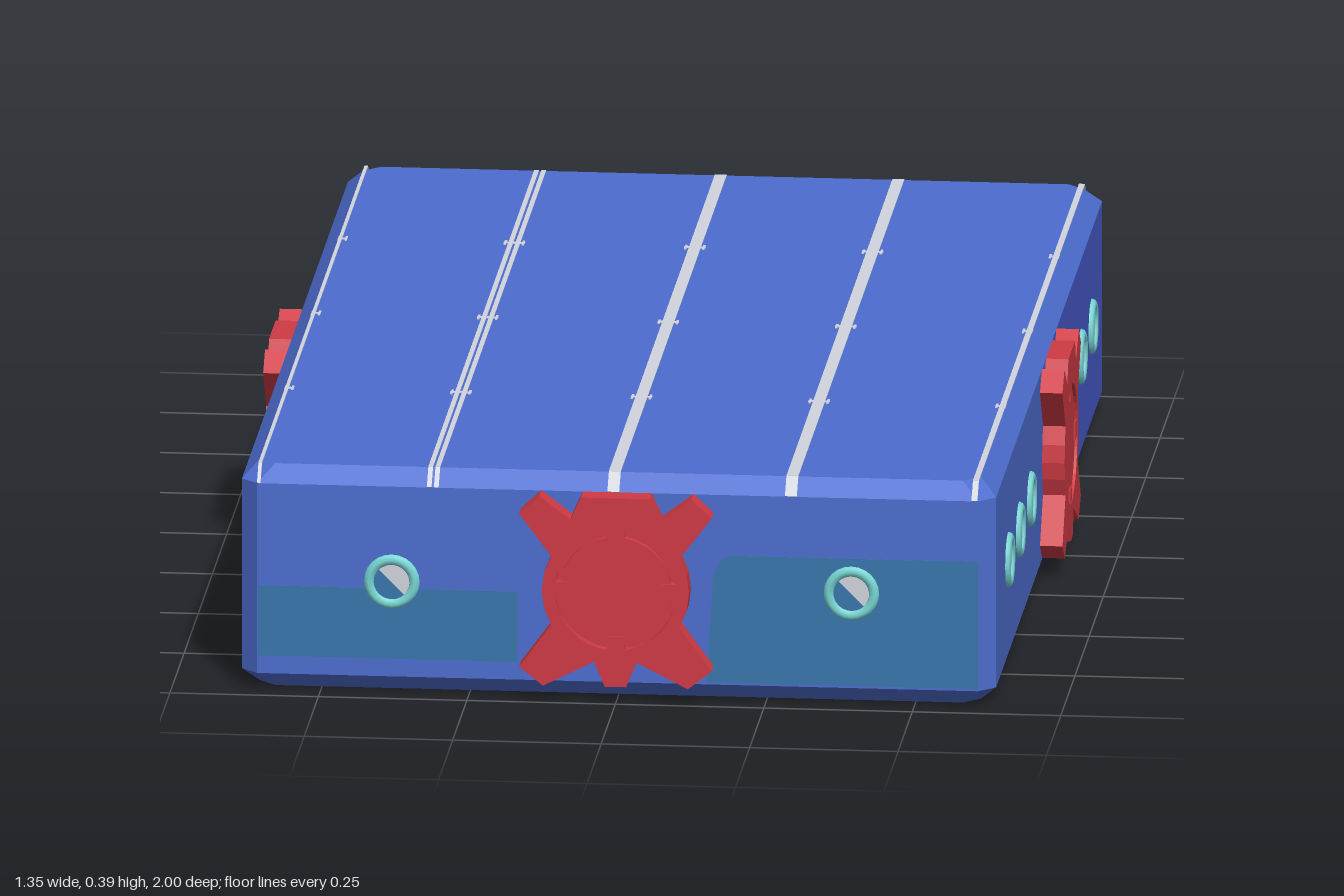
import * as THREE from 'three';

const mat = (name, hex) => {
  const m = new THREE.MeshStandardMaterial({ color: hex });
  m.name = name;
  return m;
};

const HX = 0.635, HZ = 0.962, H = 0.386, CUT = 0.028, MID = 0.195;

// Chamfered slab from stacked outlines; groups: 0 lid and front, 1 rear walls and underside, 2 front left lower edge
function slabGeometry() {
  const outline = (inset) => {
    const x = HX - inset, z = HZ - inset, c = CUT;
    return [[x, 0], [x, z - c], [x - c, z], [c - x, z], [-x, z - c],
      [-x, 0], [-x, c - z], [c - x, -z], [x - c, -z], [x, c - z]];
  };
  const levels = [[0, CUT], [CUT, 0], [H - CUT, 0], [H, CUT]];
  const rings = levels.map(([y, inset]) => outline(inset).map(([x, z]) => [x, y, z]));
  const sets = [[], [], []];
  const n = rings[0].length;
  for (let k = 0; k < 3; k++) {
    for (let i = 0; i < n; i++) {
      const j = (i + 1) % n;
      const a = rings[k][i], b = rings[k][j], c = rings[k + 1][i], d = rings[k + 1][j];
      const rear = k === 1 && a[2] + b[2] < 0;
      const set = k === 0 && i === 0 ? 2 : rear ? 1 : 0;
      sets[set].push(...a, ...c, ...b, ...b, ...c, ...d);
    }
  }
  for (let i = 0; i < n; i++) {
    const j = (i + 1) % n;
    sets[0].push(0, H, 0, ...rings[3][j], ...rings[3][i]);
    sets[1].push(0, 0, 0, ...rings[0][i], ...rings[0][j]);
  }
  const g = new THREE.BufferGeometry();
  g.setAttribute('position', new THREE.Float32BufferAttribute(sets.flat(), 3));
  let start = 0;
  sets.forEach((set, i) => {
    g.addGroup(start, set.length / 3, i);
    start += set.length / 3;
  });
  g.computeVertexNormals();
  return g;
}

// Right half of the clasp outline, bottom to top
const CLASP = [[0.018, -0.165], [0.036, -0.122], [0.122, -0.166], [0.162, -0.134], [0.108, -0.06],
  [0.12, -0.03], [0.124, 0], [0.12, 0.03], [0.108, 0.06], [0.162, 0.132], [0.128, 0.164],
  [0.076, 0.124], [0.058, 0.163]];

export function createModel() {
  const blue = mat('blue', 0x4d6dd0);
  const violet = mat('violet blue', 0x465acd);
  const teal = mat('deep teal', 0x3976ae);
  const red = mat('red', 0xcf3a44);
  const mint = mat('mint', 0x78d6d4);
  const grey = mat('light grey', 0xd2d5de);
  mint.side = THREE.DoubleSide;

  const model = new THREE.Group();
  model.name = 'chest';
  const add = (parent, name, geo, material, x = 0, y = 0, z = 0) => {
    const m = new THREE.Mesh(geo, material);
    m.name = name;
    m.position.set(x, y, z);
    parent.add(m);
    return m;
  };

  add(model, 'body', slabGeometry(), [blue, violet, teal]);

  // Clasp plate with a round recess
  const plate = new THREE.Shape([...CLASP, ...CLASP.slice().reverse().map(([x, y]) => [-x, y])]
    .map(([x, y]) => new THREE.Vector2(x, y)));
  plate.holes.push(new THREE.Path().absarc(0, 0, 0.102, 0, Math.PI * 2, true));
  const plateGeo = new THREE.ExtrudeGeometry(plate, { depth: 0.038, bevelEnabled: false, curveSegments: 20 });
  const discGeo = new THREE.CylinderGeometry(0.094, 0.094, 0.034, 32).rotateX(Math.PI / 2);
  const floorGeo = new THREE.CylinderGeometry(0.11, 0.11, 0.022, 24).rotateX(Math.PI / 2);
  const tabGeo = new THREE.BoxGeometry(0.03, 0.025, 0.036);

  const makeClasp = (depth) => {
    const clasp = new THREE.Group();
    clasp.name = 'clasp';
    add(clasp, 'claspPlate', plateGeo, red);
    add(clasp, 'claspFloor', floorGeo, red, 0, 0, 0.011);
    add(clasp, 'claspDisc', discGeo, red, 0, 0, 0.017);
    for (let i = 0; i < 4; i++) {
      const a = i * Math.PI / 2;
      add(clasp, 'claspTab', tabGeo, red, Math.sin(a) * 0.09, Math.cos(a) * 0.09, 0.019).rotation.z = -a;
    }
    clasp.position.set(0, MID, depth);
    return clasp;
  };

  // Round stud: raised rim, dark centre and a light half
  const rimGeo = new THREE.LatheGeometry([[0.047, 0], [0.045, 0.006], [0.039, 0.009], [0.031, 0.007], [0.03, 0]]
    .map(([x, y]) => new THREE.Vector2(x, y)), 24).rotateX(Math.PI / 2);
  const centreGeo = new THREE.CircleGeometry(0.031, 24);
  const halfGeo = new THREE.CircleGeometry(0.03, 16, -Math.PI / 4, Math.PI);
  const makeStud = (x, depth) => {
    const stud = new THREE.Group();
    stud.name = 'stud';
    add(stud, 'studRim', rimGeo, mint);
    add(stud, 'studCentre', centreGeo, teal, 0, 0, 0.002);
    add(stud, 'studGlint', halfGeo, grey, 0, 0, 0.004);
    stud.position.set(x, MID - 0.002, depth);
    return stud;
  };

  // Fittings on all four walls; the studs sit slightly off centre
  const endStuds = [0.387], sideStuds = [0.35, 0.545, 0.735];
  ['front', 'left', 'back', 'right'].forEach((name, i) => {
    const wall = new THREE.Group();
    wall.name = name + 'Fittings';
    wall.rotation.y = i * Math.PI / 2;
    const depth = i % 2 ? HX : HZ;
    const shift = i < 2 ? 0.007 : -0.007;
    wall.add(makeClasp(depth));
    for (const x of i % 2 ? sideStuds : endStuds) {
      for (const s of [-1, 1]) wall.add(makeStud(s * x + shift, depth));
    }
    model.add(wall);
  });

  // Teal panels on the front wall
  add(model, 'frontPanelRight', new THREE.BoxGeometry(0.437, 0.122, 0.002), teal, -0.3865, 0.12, HZ);
  const panel = new THREE.Shape();
  panel.moveTo(0.15, 0.032);
  panel.lineTo(0.607, 0.032);
  panel.lineTo(0.607, 0.253);
  panel.lineTo(0.2, 0.253);
  panel.quadraticCurveTo(0.16, 0.253, 0.16, 0.19);
  add(model, 'frontPanelLeft', new THREE.ExtrudeGeometry(panel, { depth: 0.001, bevelEnabled: false }), teal, 0, 0, HZ);

  // Lid seams that run over the end chamfers
  const len = 2 * (HZ - CUT);
  const seams = [[-0.604, 0.006], [-0.317, 0.008], [-0.305, 0.008], [-0.007, 0.02], [0.292, 0.02], [0.601, 0.01]];
  for (const [x, w] of seams) {
    add(model, 'lidSeam', new THREE.BoxGeometry(w, 0.003, len), grey, x, H, 0);
    for (const s of [-1, 1]) {
      add(model, 'seamEnd', new THREE.BoxGeometry(w, 0.003, CUT * 1.41), grey,
        x, H - CUT / 2, s * (HZ - CUT / 2)).rotation.x = s * Math.PI / 4;
    }
  }

  // Small cross marks along the seams: a long bar with short end ticks
  for (const [x, span] of [[-0.6, 0.014], [-0.311, 0.036], [-0.007, 0.036], [0.292, 0.036], [0.598, 0.016]]) {
    for (const z of [-0.478, -0.008, 0.464]) {
      add(model, 'seamMark', new THREE.BoxGeometry(span, 0.003, 0.008), grey, x, H, z);
      for (const s of [-1, 1]) {
        add(model, 'seamTick', new THREE.BoxGeometry(0.004, 0.003, 0.024), grey, x + s * span * 0.42, H, z);
      }
    }
  }
  return model;
}
